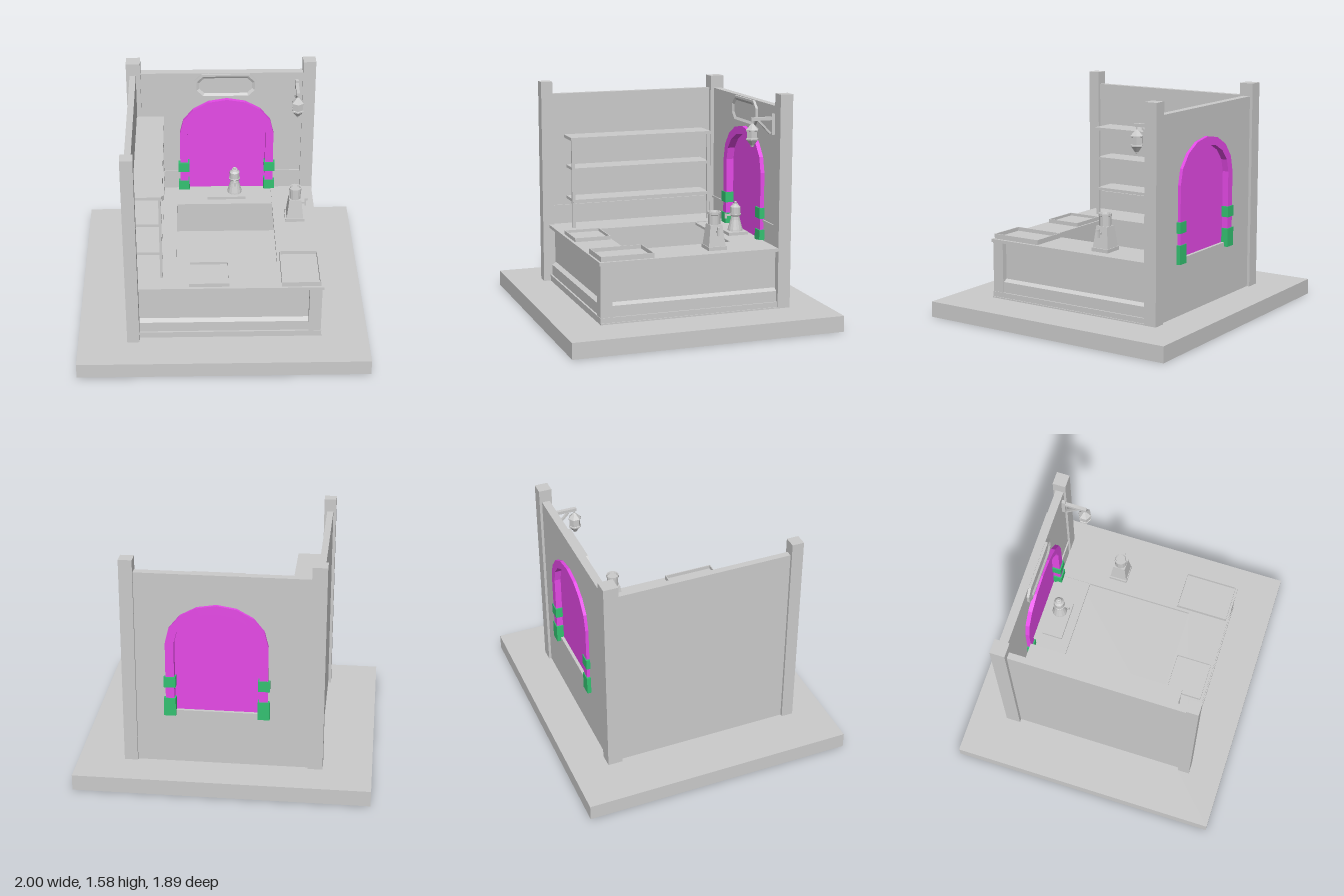
import * as THREE from 'three';

const grey = new THREE.MeshStandardMaterial({ color: 0xcccccc, flatShading: true });
const greyOpen = new THREE.MeshStandardMaterial({ color: 0xcccccc, flatShading: true, side: THREE.DoubleSide });
const purple = new THREE.MeshStandardMaterial({ color: 0xe64ae8, flatShading: true, side: THREE.DoubleSide });
const green = new THREE.MeshStandardMaterial({ color: 0x34c272, flatShading: true });

export function createModel() {
  const root = new THREE.Group();
  const add = (name, geo, mat = grey, parent = root) => {
    const m = new THREE.Mesh(geo, mat);
    m.name = name;
    parent.add(m);
    return m;
  };
  // box given by its min and max on each axis
  const box = (name, x0, x1, y0, y1, z0, z1, mat = grey, parent = root) => {
    const m = add(name, new THREE.BoxGeometry(x1 - x0, y1 - y0, z1 - z0), mat, parent);
    m.position.set((x0 + x1) / 2, (y0 + y1) / 2, (z0 + z1) / 2);
    return m;
  };
  const group = (name, x = 0, y = 0, z = 0) => {
    const g = new THREE.Group();
    g.name = name;
    g.position.set(x, y, z);
    root.add(g);
    return g;
  };
  const toShape = pts => new THREE.Shape(pts.map(p => new THREE.Vector2(...p)));
  const extrude = (shape, depth, z) =>
    new THREE.ExtrudeGeometry(shape, { depth, bevelEnabled: false }).translate(0, 0, z);

  // base: a shell without its underside (fourth face of the box)
  const base = box('base', -1, 1, 0, 0.11, -0.945, 0.945, greyOpen);
  base.geometry.setIndex([...base.geometry.index.array].filter((_, i) => i < 18 || i > 23));
  box('floor', -0.64, 0.683, 0.111, 0.12, -0.67, 0.66);

  // corner posts
  box('backLeftPost', 0.594, 0.685, 0.111, 1.575, -0.688, -0.598);
  box('backRightPost', -0.667, -0.567, 0.111, 1.575, -0.69, -0.588);
  box('frontRightPost', -0.662, -0.577, 0.111, 1.575, 0.627, 0.71);

  // arched outline: straight legs under a faceted half ellipse
  const archX = 0.049;
  const arch = (halfWidth, top, bottom) => {
    const pts = [[archX + halfWidth, bottom]];
    for (let i = 0; i <= 8; i++) {
      const a = (i / 8) * Math.PI;
      pts.push([archX + halfWidth * Math.cos(a), 1 + (top - 1) * Math.sin(a)]);
    }
    return [...pts, [archX - halfWidth, bottom]];
  };
  const outer = arch(0.342, 1.282, 0.49), inner = arch(0.284, 1.225, 0.49);

  // walls; the back one has an arched opening
  const wall = toShape([[-0.6, 0.111], [0.62, 0.111], [0.62, 1.485], [-0.6, 1.485]]);
  wall.holes.push(toShape(arch(0.3, 1.24, 0.5)));
  add('backWall', extrude(wall, 0.055, -0.67));
  box('sideWall', -0.642, -0.598, 0.111, 1.485, -0.6, 0.64);
  box('sideWallTrim', -0.598, -0.586, 0.655, 0.67, -0.6, 0.63);
  box('backWallTrim', -0.58, -0.28, 0.655, 0.67, -0.62, -0.605);
  box('backWallTrim', 0.38, 0.6, 0.655, 0.67, -0.62, -0.605);

  // arch frame, pane and clamps
  add('archFrame', extrude(toShape([...outer, ...[...inner].reverse()]), 0.106, -0.692), purple);
  add('archPane', extrude(toShape(arch(0.287, 1.228, 0.5)), 0.008, -0.648), purple);
  for (const s of [-1, 1]) {
    const x = archX + s * 0.315;
    for (const [y0, y1] of [[0.47, 0.6], [0.68, 0.755]])
      box('archClamp', x - 0.04, x + 0.04, y0, y1, -0.698, -0.577, green);
  }

  // hollow counter: U-shaped top, back slab and thin outer panels
  const top = toShape([[-0.6, 0.6], [-0.6, -0.665], [0.683, -0.665], [0.683, 0.6],
    [0.378, 0.6], [0.378, -0.378], [-0.318, -0.378], [-0.318, 0.6]]);
  add('counterTop', extrude(top, 0.022, 0.508).rotateX(-Math.PI / 2));
  box('backCounterTop', -0.318, 0.378, 0.508, 0.525, -0.615, -0.377);
  box('frontPanel', -0.6, 0.632, 0.12, 0.51, 0.59, 0.617);
  box('sidePanel', 0.607, 0.634, 0.12, 0.51, -0.61, 0.617);
  box('frontPlinth', -0.6, 0.676, 0.12, 0.155, 0.6, 0.66);
  box('sidePlinth', 0.615, 0.676, 0.12, 0.155, -0.6, 0.66);
  box('counterCornerPost', 0.587, 0.672, 0.155, 0.51, 0.574, 0.657);
  // sloped skirting under the recessed panels
  const skirt = toShape([[0, 0.155], [0.035, 0.155], [0.035, 0.23], [0, 0.25]]);
  const front = add('frontSkirting', extrude(skirt, 1.17, 0));
  front.rotation.y = -Math.PI / 2;
  front.position.set(0.59, 0, 0.612);
  add('sideSkirting', extrude(skirt, 1.17, -0.595)).position.x = 0.63;

  // shelf rack on the side wall
  const rack = group('shelfRack');
  box('topShelf', -0.598, -0.403, 1.165, 1.187, -0.525, 0.54, grey, rack);
  for (const y of [0.945, 0.715]) box('shelf', -0.598, -0.41, y, y + 0.02, -0.515, 0.525, grey, rack);
  for (const z of [-0.513, 0.523]) box('shelfLeg', -0.428, -0.411, 0.53, 1.165, z - 0.012, z + 0.012, grey, rack);

  // trays with a thin raised rim
  const tray = (x0, x1, z0, z1, y1) => {
    const g = group('tray'), t = 0.007;
    box('trayFloor', x0, x1, 0.53, 0.538, z0, z1, grey, g);
    for (const x of [x0, x1 - t]) box('trayRim', x, x + t, 0.53, y1, z0, z1, grey, g);
    for (const z of [z0, z1 - t]) box('trayRim', x0 + t, x1 - t, 0.53, y1, z, z + t, grey, g);
  };
  tray(-0.233, 0.042, 0.39, 0.645, 0.557);
  tray(0.397, 0.663, 0.28, 0.65, 0.564);

  // octagonal wall plaque with a bevelled rim and a sunken face
  const plaque = group('plaque', 0.042, 1.388, 0);
  const octagon = (w, h, c) => [[-w + c, -h], [w - c, -h], [w, -h + c], [w, h - c], [w - c, h], [-w + c, h], [-w, h - c], [-w, -h + c]];
  const rings = [[0.223, 0.093, 0.05, -0.62], [0.223, 0.093, 0.05, -0.597], [0.208, 0.078, 0.045, -0.597], [0.19, 0.06, 0.037, -0.608]];
  const pos = [], idx = [];
  rings.forEach(([w, h, c, z], r) => {
    for (const [x, y] of octagon(w, h, c)) pos.push(x, y, z);
    for (let i = 0; r && i < 8; i++) {
      const a = (r - 1) * 8 + i, b = (r - 1) * 8 + (i + 1) % 8;
      idx.push(a, b, b + 8, a, b + 8, a + 8);
    }
  });
  const frame = new THREE.BufferGeometry();
  frame.setAttribute('position', new THREE.Float32BufferAttribute(pos, 3));
  frame.setIndex(idx);
  frame.computeVertexNormals();
  add('plaqueFrame', frame, grey, plaque);
  add('plaqueFace', new THREE.ShapeGeometry(toShape(octagon(0.19, 0.06, 0.037))), grey, plaque).position.z = -0.608;

  // hanging lantern on a braced bracket
  const lamp = group('lantern', 0.552, 0, 0);
  box('bracketPlate', -0.012, 0.012, 1.29, 1.43, -0.617, -0.59, grey, lamp);
  box('bracketArm', -0.012, 0.012, 1.39, 1.412, -0.6, -0.44, grey, lamp);
  const brace = box('bracketBrace', -0.009, 0.009, 1.335, 1.349, -0.6, -0.482, grey, lamp);
  brace.rotation.x = -0.8;
  const lathe = (name, pts, sides, parent) =>
    add(name, new THREE.LatheGeometry(pts.map(p => new THREE.Vector2(...p)), sides), grey, parent);
  lathe('lanternBody', [[0, 1.212], [0.012, 1.216], [0.014, 1.225], [0.038, 1.258], [0.045, 1.262], [0.045, 1.272], [0.04, 1.275],
    [0.04, 1.32], [0.046, 1.322], [0.046, 1.332], [0.014, 1.365], [0.006, 1.372], [0.006, 1.395]], 6, lamp).position.z = -0.453;

  // urn with a tap, standing on a board
  box('urnBoard', -0.095, 0.187, 0.525, 0.546, -0.585, -0.438);
  const urn = group('urn', 0.107, 0, -0.518);
  lathe('urnBody', [[0, 0.546], [0.054, 0.546], [0.052, 0.558], [0.034, 0.625], [0.03, 0.65], [0.038, 0.654], [0.042, 0.665],
    [0.038, 0.668], [0.037, 0.715], [0.024, 0.728], [0.02, 0.737], [0.01, 0.739], [0.012, 0.75], [0, 0.756]], 14, urn);
  box('tap', -0.006, 0.006, 0.652, 0.664, 0.03, 0.08, grey, urn);
  box('tapSpout', -0.007, 0.007, 0.635, 0.668, 0.066, 0.08, grey, urn);

  // mill: square tapered body, round hopper and a crank
  const mill = group('mill', 0.532, 0, -0.19);
  box('millBase', -0.07, 0.07, 0.53, 0.555, -0.065, 0.065, grey, mill);
  const r = Math.SQRT2;
  const body = lathe('millBody', [[0, 0.555], [0.06 * r, 0.555], [0.043 * r, 0.7], [0, 0.7]], 4, mill);
  body.rotation.y = Math.PI / 4;
  lathe('millHopper', [[0.041, 0.69], [0.041, 0.765], [0.046, 0.768], [0.046, 0.785], [0.038, 0.785], [0.034, 0.772], [0, 0.772]], 14, mill);
  box('crankAxle', 0.035, 0.08, 0.65, 0.662, -0.006, 0.006, grey, mill);
  box('crankArm', 0.07, 0.08, 0.63, 0.69, -0.007, 0.007, grey, mill);
  box('crankGrip', 0.07, 0.092, 0.675, 0.69, -0.007, 0.007, grey, mill);

  return root;
}
